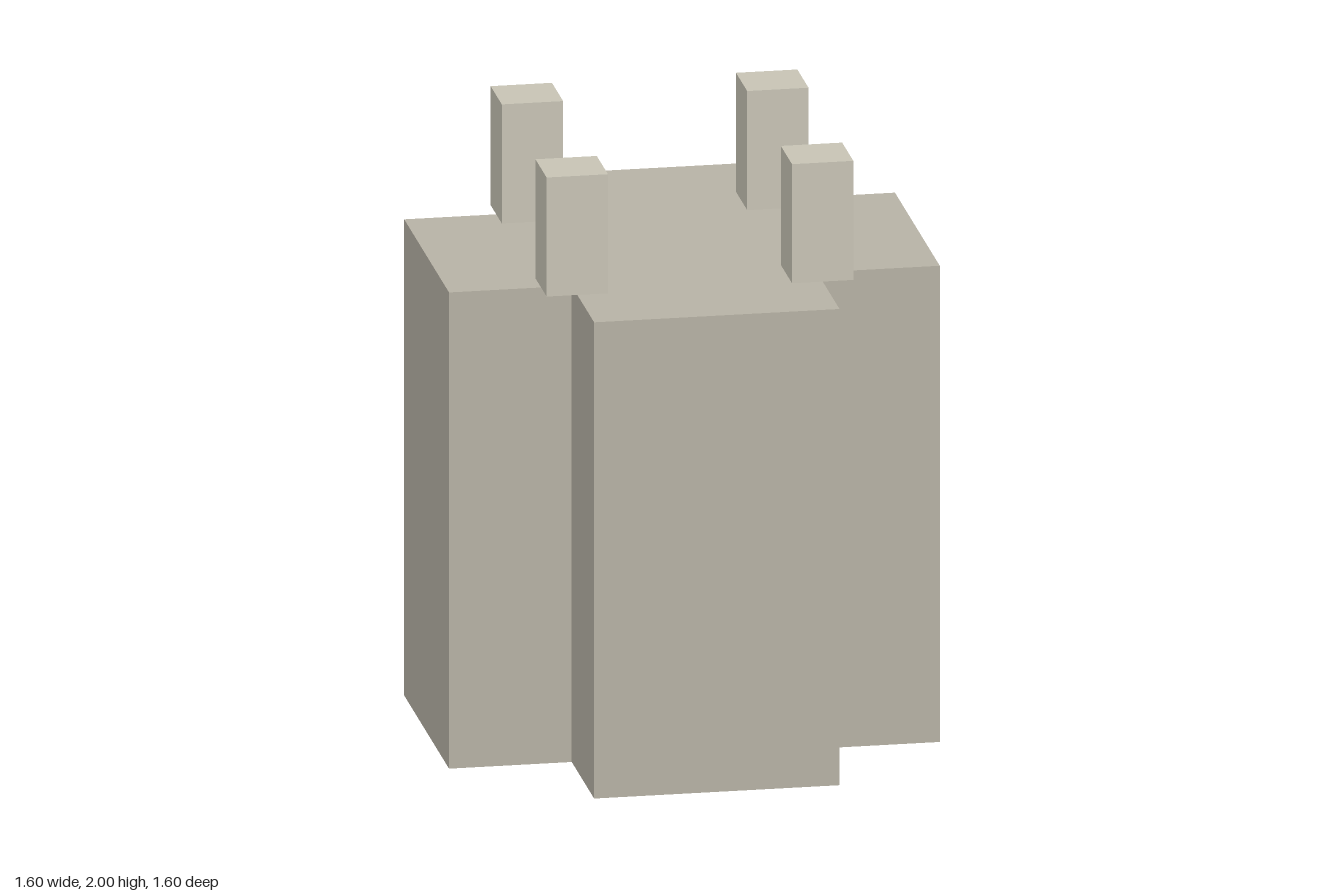
import * as THREE from 'three';

const WIDE = 0.8, NARROW = 0.4; // half length and half width of the cross arms
const BODY_HEIGHT = 1.6, POST_HEIGHT = 0.4, POST_WIDTH = 0.2;

// Plus-shaped outline: three corners per quadrant, turned four times
function crossShape() {
  const points = [];
  for (let i = 0; i < 4; i++) {
    for (const [x, y] of [[WIDE, -NARROW], [WIDE, NARROW], [NARROW, NARROW]]) {
      points.push(new THREE.Vector2(x, y).rotateAround(new THREE.Vector2(), i * Math.PI / 2));
    }
  }
  return new THREE.Shape(points);
}

export function createModel() {
  const model = new THREE.Group();
  model.name = 'crossTower';
  const bodyMaterial = new THREE.MeshStandardMaterial({ color: 0xbab5a8 });
  const postMaterial = new THREE.MeshStandardMaterial({ color: 0xcbc7b8 });

  // Cross-plan tower body
  const bodyGeometry = new THREE.ExtrudeGeometry(crossShape(), { depth: BODY_HEIGHT, bevelEnabled: false });
  bodyGeometry.rotateX(-Math.PI / 2);
  const body = new THREE.Mesh(bodyGeometry, bodyMaterial);
  body.name = 'towerBody';
  model.add(body);

  // Square posts standing over the four inner corners
  const postGeometry = new THREE.BoxGeometry(POST_WIDTH, POST_HEIGHT, POST_WIDTH);
  for (const [sx, side] of [[1, 'Left'], [-1, 'Right']]) {
    for (const [sz, end] of [[1, 'front'], [-1, 'back']]) {
      const post = new THREE.Mesh(postGeometry, postMaterial);
      post.name = `${end}${side}Post`;
      post.position.set(sx * NARROW, BODY_HEIGHT + POST_HEIGHT / 2, sz * NARROW);
      model.add(post);
    }
  }
  return model;
}
